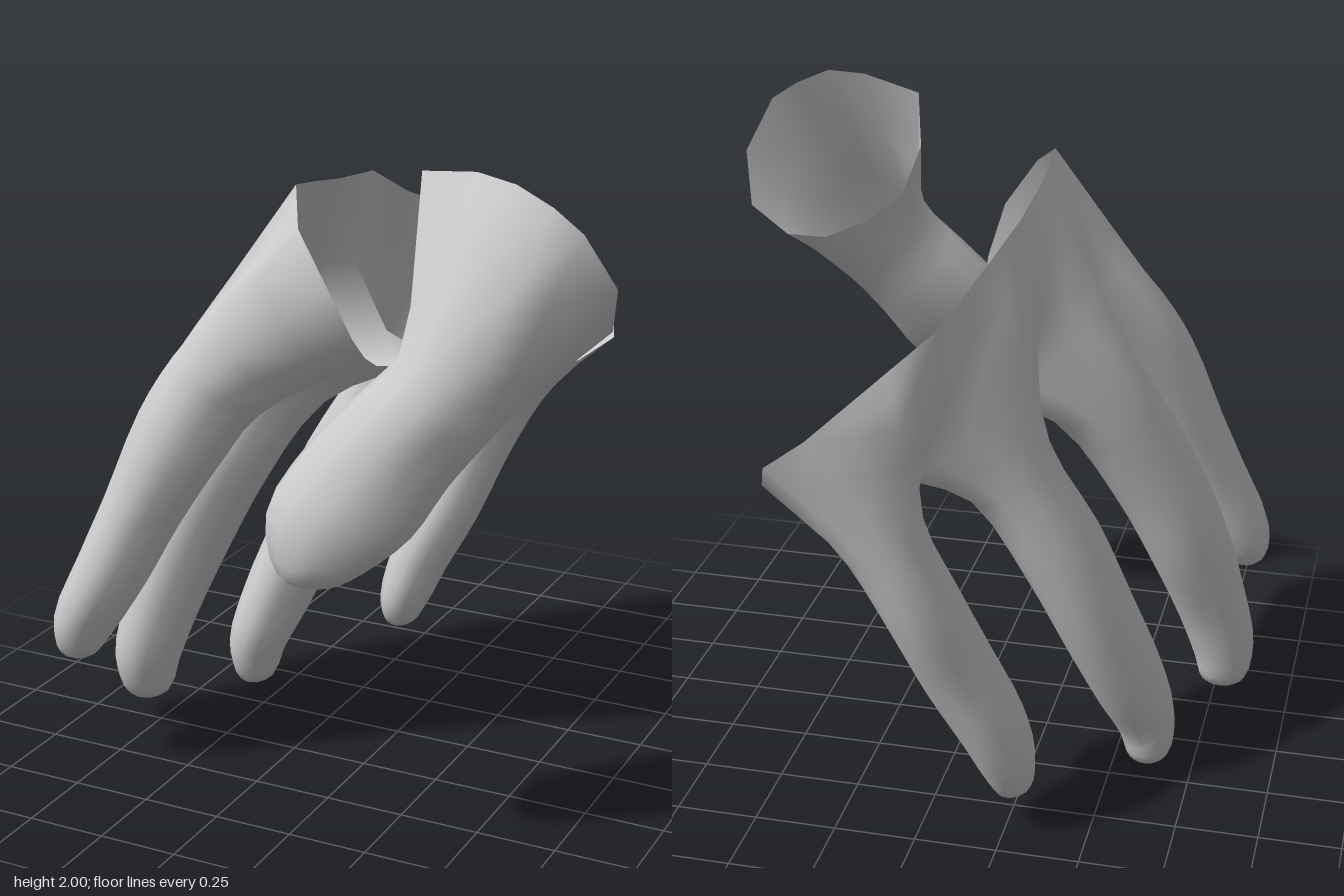
import * as THREE from 'three';
import { mergeGeometries, mergeVertices } from 'three/addons/utils/BufferGeometryUtils.js';

const SIDES = 12;
const V = (p) => new THREE.Vector3(...p);
const mid = (a, b) => a.clone().lerp(b, 0.5);

// Elliptical cross-sections [x, y, z, half thickness, half width], fingertip first
function sectionRings(sections) {
  return sections.map(([x, y, z, thick, width], i) => {
    const from = sections[Math.max(i - 1, 0)];
    const to = sections[Math.min(i + 1, sections.length - 1)];
    const t = V(to.slice(0, 3)).sub(V(from.slice(0, 3))).normalize();
    const s = new THREE.Vector3(0, 0, 1).addScaledVector(t, -t.z).normalize();
    const n = new THREE.Vector3().crossVectors(s, t);
    return Array.from({ length: SIDES }, (_, k) => {
      const a = (k / SIDES) * Math.PI * 2;
      return new THREE.Vector3(x, y, z)
        .addScaledVector(n, thick * Math.sin(a))
        .addScaledVector(s, width * Math.cos(a));
    });
  });
}

// Surface through neighbouring columns of points
function skin(columns, closed) {
  const row = columns[0].length;
  const position = columns.flat().flatMap((p) => [p.x, p.y, p.z]);
  const index = [];
  for (let k = 0; k < columns.length - (closed ? 0 : 1); k++) {
    for (let j = 0; j < row - 1; j++) {
      const a = k * row + j;
      const b = ((k + 1) % columns.length) * row + j;
      index.push(a, a + 1, b, b, a + 1, b + 1);
    }
  }
  const g = new THREE.BufferGeometry();
  g.setAttribute('position', new THREE.Float32BufferAttribute(position, 3));
  g.setIndex(index);
  return g;
}

// Smooth digit from the fingertip through the sections to a rim of 12 points
function digit(sections, rim) {
  const rings = [...sectionRings(sections), rim];
  const columns = rim.map((_, k) =>
    new THREE.CatmullRomCurve3(rings.map((r) => r[k])).getPoints((rings.length - 1) * 3));
  return skin(columns, true);
}

// Lines across the hand, two steps per finger, index to little:
// the open edge on the back, the knuckle line, and the open edge on the palm
const backEdge = [
  [-0.1, 1.77, 0.45], [-0.19, 1.86, 0.29], [-0.2, 1.84, 0.14],
  [-0.2, 1.82, 0], [-0.2, 1.8, -0.24], [-0.14, 1.71, -0.38],
  [-0.06, 1.6, -0.65], [0.06, 1.5, -0.74], [0.24, 1.36, -0.95],
].map(V);
const knuckles = [
  [-0.1, 1.77, 0.45], [-0.36, 1.6, 0.36], [-0.32, 1.54, 0.16],
  [-0.37, 1.55, 0], [-0.26, 1.5, -0.23], [-0.24, 1.47, -0.4],
  [-0.06, 1.34, -0.63], [0.02, 1.34, -0.79], [0.24, 1.36, -0.95],
].map(V);
const palmEdge = [
  [0.05, 1.45, 0.41], [0.03, 1.36, 0.29], [0.01, 1.3, 0.17],
  [0.03, 1.25, -0.02], [0.04, 1.22, -0.2], [0.15, 1.17, -0.39],
  [0.22, 1.12, -0.56], [0.33, 1.12, -0.7], [0.4, 1.17, -0.85],
].map(V);
// Hand edges at both ends, and the webs between fingers
const webs = [
  [0.01, 1.61, 0.48], [-0.25, 1.36, 0.17], [-0.13, 1.3, -0.19],
  [0.06, 1.2, -0.59], [0.36, 1.27, -0.95],
].map(V);

const refine = (line) => line.flatMap((p, i) => (i ? [mid(line[i - 1], p), p] : [p]));

// Rim of one finger; neighbours share the points along their web
function knuckleRim(i) {
  const span = (line) => refine(line.slice(i * 2, i * 2 + 3));
  return [webs[i], ...span(knuckles), webs[i + 1], ...span(palmEdge).reverse()];
}

// Back of the hand between the knuckle line and the open edge
function backOfHand() {
  const top = refine(backEdge);
  return skin(refine(knuckles).map((p, i) => [p, mid(p, top[i]), top[i]]), false);
}

const fingers = [
  // index
  [[-0.82, 0.36, 0.6, 0, 0], [-0.82, 0.385, 0.6, 0.055, 0.07], [-0.8, 0.47, 0.6, 0.09, 0.115],
    [-0.7, 0.67, 0.565, 0.11, 0.135], [-0.62, 0.85, 0.52, 0.12, 0.14],
    [-0.5, 1.1, 0.46, 0.15, 0.155], [-0.4, 1.26, 0.41, 0.16, 0.165]],
  // middle
  [[-0.79, 0.08, 0.25, 0, 0], [-0.79, 0.11, 0.25, 0.07, 0.075], [-0.785, 0.22, 0.265, 0.1, 0.12],
    [-0.74, 0.4, 0.24, 0.115, 0.14], [-0.66, 0.65, 0.17, 0.13, 0.165],
    [-0.55, 0.9, 0.11, 0.14, 0.17], [-0.38, 1.19, 0.02, 0.16, 0.17]],
  // ring
  [[-0.61, 0, -0.16, 0, 0], [-0.61, 0.03, -0.155, 0.06, 0.075], [-0.6, 0.14, -0.14, 0.09, 0.115],
    [-0.55, 0.3, -0.185, 0.11, 0.145], [-0.46, 0.54, -0.26, 0.12, 0.16],
    [-0.35, 0.8, -0.315, 0.13, 0.165], [-0.2, 1.06, -0.36, 0.14, 0.17]],
  // little
  [[-0.27, 0.1, -0.59, 0, 0], [-0.27, 0.125, -0.59, 0.05, 0.07], [-0.255, 0.2, -0.585, 0.08, 0.11],
    [-0.21, 0.35, -0.62, 0.1, 0.13], [-0.12, 0.55, -0.67, 0.11, 0.135],
    [-0.03, 0.78, -0.735, 0.11, 0.14], [0.07, 0.99, -0.76, 0.12, 0.145]],
];

const thumb = [
  [0.12, 0.86, 0.86, 0, 0], [0.125, 0.885, 0.86, 0.08, 0.08], [0.14, 0.99, 0.825, 0.165, 0.135],
  [0.24, 1.13, 0.75, 0.195, 0.165], [0.34, 1.27, 0.69, 0.18, 0.18], [0.45, 1.41, 0.635, 0.175, 0.19],
];
const thumbRim = [
  [0.62, 1.99, 0.57], [0.48, 2, 0.51], [0.28, 1.97, 0.43], [0.29, 1.78, 0.49],
  [0.34, 1.63, 0.43], [0.45, 1.55, 0.37], [0.57, 1.5, 0.34], [0.7, 1.5, 0.34],
  [0.84, 1.57, 0.4], [0.89, 1.72, 0.51], [0.82, 1.88, 0.59], [0.73, 1.94, 0.58],
].map(V);

export function createModel() {
  const group = new THREE.Group();
  group.name = 'gloveFingers';
  const material = new THREE.MeshStandardMaterial({ color: 0xcccccc, side: THREE.DoubleSide });
  const add = (name, parts) => {
    const g = mergeVertices(mergeGeometries(parts), 1e-4);
    g.computeVertexNormals();
    const mesh = new THREE.Mesh(g, material);
    mesh.name = name;
    group.add(mesh);
  };
  // Four fingers welded along their webs and to the back of the hand, and the separate thumb
  add('fingersAndKnuckles', [...fingers.map((f, i) => digit(f, knuckleRim(i))), backOfHand()]);
  add('thumb', [digit(thumb, thumbRim)]);
  return group;
}
